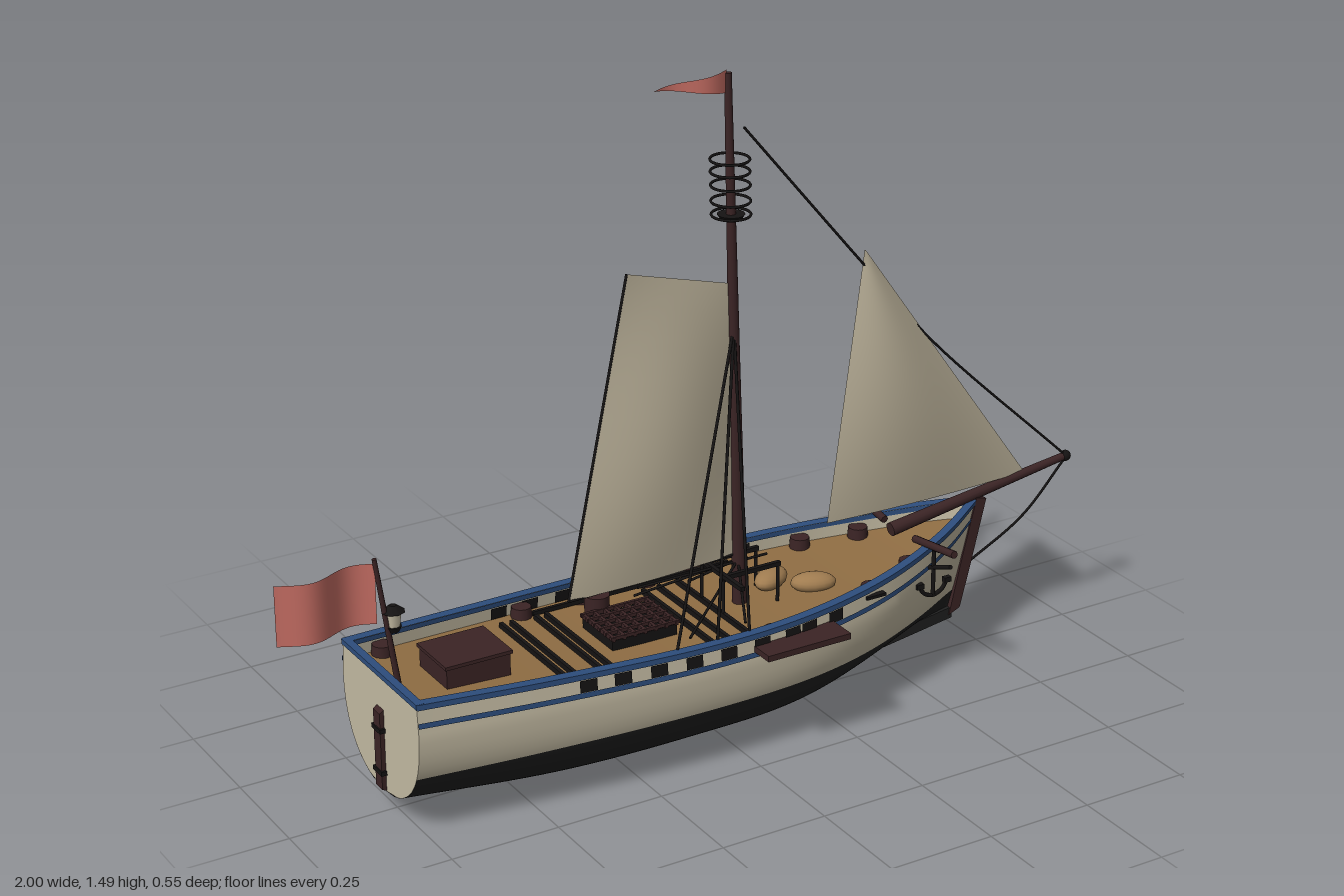
import * as THREE from 'three';
import { ParametricGeometry } from 'three/addons/geometries/ParametricGeometry.js';

const mat = (name, color) => Object.assign(new THREE.MeshStandardMaterial({ color, side: THREE.DoubleSide }), { name });
const V = (x, y, z) => new THREE.Vector3(x, y, z);
const lerp = THREE.MathUtils.lerp;

// Smooth curve through sample points
const curve = (xs, ys) => {
  const c = new THREE.CubicInterpolant(xs, ys, 1);
  return (x) => c.evaluate(x)[0];
};

// Hull lines: half breadth, sheer and keel height along the length
const STERN = -0.78, BOW = 0.74, WATER = 0.15;
const half = curve([-0.78, -0.5, -0.1, 0.15, 0.35, 0.5, 0.62, 0.74], [0.178, 0.203, 0.225, 0.216, 0.18, 0.13, 0.075, 0]);
const sheer = curve([-0.78, -0.4, 0, 0.3, 0.5, 0.74], [0.33, 0.314, 0.306, 0.318, 0.335, 0.368]);
const keel = curve([-0.78, -0.42, -0.1, 0.18, 0.43, 0.74], [0.052, 0.018, 0.015, 0.02, 0.062, 0.108]);
const deckY = (x) => sheer(x) - 0.042;

function hullWidth(x, y) {
  const v = THREE.MathUtils.clamp((y - keel(x)) / (sheer(x) - keel(x)), 0, 1);
  const t = Math.min(v / 0.75, 1);
  const s = (x - STERN) / (BOW - STERN);
  const tumble = 1 - 0.035 * Math.max(0, (v - 0.75) / 0.25);
  return half(x) * Math.pow(1 - Math.pow(1 - t, 2.5), 0.48 + 0.35 * s ** 4) * tumble;
}
function hullPoint(x, y, offset, side, target) {
  const s = (x - STERN) / (BOW - STERN);
  return target.set(x + s ** 6 * (y - 0.36) * 0.27, y, side * Math.max(0, hullWidth(x, y) + offset));
}

export function createModel() {
  const model = new THREE.Group();
  model.name = 'sailingShip';
  const cream = mat('creamPaint', 0xc4bba3), black = mat('hullBlack', 0x1f1f1f), blue = mat('bluePaint', 0x2d4d7c);
  const deckWood = mat('deckWood', 0x8f6d43), brown = mat('darkWood', 0x3b2425), rope = mat('ropeBlack', 0x151313);
  const sail = mat('sailCloth', 0xbdb39b), red = mat('redCloth', 0xc86f65), tan = mat('sackTan', 0xa07c50);

  const add = (name, geo, material, x = 0, y = 0, z = 0) => {
    const m = new THREE.Mesh(geo, material);
    m.name = name;
    m.position.set(x, y, z);
    model.add(m);
    return m;
  };
  const box = (name, material, w, h, d, x, y, z) => add(name, new THREE.BoxGeometry(w, h, d), material, x, y, z);
  const surface = (name, material, nu, nv, f) => add(name, new ParametricGeometry(f, nu, nv), material);
  const rod = (name, material, a, b, r0, r1 = r0, n = 10) => {
    const m = add(name, new THREE.CylinderGeometry(r1, r0, a.distanceTo(b), n), material);
    m.position.copy(a).add(b).multiplyScalar(0.5);
    m.quaternion.setFromUnitVectors(V(0, 1, 0), b.clone().sub(a).normalize());
    return m;
  };
  const tube = (name, material, pts, r, n = 24) =>
    add(name, new THREE.TubeGeometry(new THREE.CatmullRomCurve3(pts), n, r, 6), material);
  const plate = (name, material, pts, depth) => {
    const shape = new THREE.Shape(pts.map(([x, y]) => new THREE.Vector2(x, y)));
    return add(name, new THREE.ExtrudeGeometry(shape, { depth, bevelEnabled: false }), material, 0, 0, -depth / 2);
  };
  // Strip of planking between two height rules
  const strake = (name, material, lo, hi, off, side, x0 = STERN, x1 = BOW, nu = 64, nv = 3) =>
    surface(name, material, nu, nv, (u, v, t) => {
      const x = lerp(x0, x1, u);
      hullPoint(x, lerp(lo(x), hi(x), v), off, side, t);
    });
  const below = (d) => (x) => sheer(x) - d;

  // Hull sides, bulwarks, rails, bands and ports
  for (const side of [1, -1]) {
    strake('hullBottom', black, keel, () => WATER, 0, side, STERN, BOW, 64, 16);
    strake('hullTopside', cream, () => WATER, sheer, 0, side, STERN, BOW, 64, 8);
    strake('innerBulwark', cream, deckY, sheer, -0.014, side);
    strake('upperBand', blue, below(0.012), below(-0.001), 0.004, side);
    strake('lowerBand', blue, below(0.053), below(0.041), 0.003, side);
    strake('innerBand', blue, below(0.012), sheer, -0.017, side);
    surface('railCap', blue, 64, 1, (u, v, t) => {
      const x = lerp(STERN, BOW, u);
      hullPoint(x, sheer(x) + 0.001, lerp(-0.018, 0.005, v), side, t);
    });
    [-0.4, -0.32, -0.235, -0.15, -0.065, 0.02, 0.1, 0.145, 0.22].forEach((x) => {
      strake('gunPort', rope, below(0.04), below(0.013), 0.004, side, x - 0.02, x + 0.02, 2, 1);
      strake('innerPort', rope, below(0.04), below(0.013), -0.018, side, x - 0.02, x + 0.02, 2, 1);
    });
  }
  surface('deck', deckWood, 2, 64, (u, v, t) => {
    const x = lerp(STERN, BOW, v);
    hullPoint(x, deckY(x), -0.004, 1, t);
    t.z *= u * 2 - 1;
  });
  surface('transom', cream, 2, 24, (u, v, t) => {
    const y = lerp(keel(STERN), sheer(STERN), v);
    t.set(STERN, y, (u * 2 - 1) * hullWidth(STERN, y));
  });
  box('sternRail', blue, 0.018, 0.012, 0.35, -0.773, 0.325, 0);

  // Keel, stem and rudder
  const keelXs = [-0.76, -0.6, -0.42, -0.1, 0.18, 0.43, 0.67];
  plate('keel', black, [...keelXs.map((x) => [x, keel(x) - 0.015]), ...keelXs.map((x) => [x, keel(x) + 0.012]).reverse()], 0.02);
  plate('stem', brown, [[0.66, 0.092], [0.69, 0.105], [0.715, 0.2], [0.755, 0.365], [0.728, 0.372], [0.69, 0.22]], 0.026);
  plate('rudder', brown, [[-0.775, 0.055], [-0.79, 0.06], [-0.79, 0.24], [-0.775, 0.25]], 0.03);
  for (const y of [0.1, 0.2]) box('rudderHinge', rope, 0.022, 0.01, 0.04, -0.782, y, 0);

  // Mast, hoop lookout and bowsprit
  const mastAt = (y) => 0.1 - ((y - 0.27) * 0.035) / 1.21;
  rod('mast', brown, V(0.1, 0.26, 0), V(0.065, 1.485, 0), 0.017, 0.008, 16);
  [1.175, 1.205, 1.24, 1.27, 1.297].forEach((y) => {
    add('lookoutHoop', new THREE.TorusGeometry(0.042, 0.003, 6, 32), rope, mastAt(y), y, 0).rotation.x = Math.PI / 2;
  });
  add('lookoutFloor', new THREE.CylinderGeometry(0.03, 0.022, 0.012, 20), rope, mastAt(1.17), 1.17, 0);
  rod('bowsprit', brown, V(0.5, 0.343, 0), V(0.985, 0.414, 0), 0.016, 0.009, 12);
  add('bowspritCap', new THREE.SphereGeometry(0.013, 12, 8), rope, 0.987, 0.414, 0);

  // Sails with a gentle belly
  const corner = (a, b, t) => [lerp(a[0], b[0], t), lerp(a[1], b[1], t)];
  const cloth = (name, bl, br, tl, tr, belly) => surface(name, sail, 16, 16, (u, v, t) => {
    const [x, y] = corner(corner(bl, br, u), corner(tl, tr, u), v);
    t.set(x, y, belly * Math.sin(Math.PI * u) * Math.sin(Math.PI * (0.1 + 0.9 * v)));
  });
  cloth('mainsail', [-0.33, 0.375], [0.085, 0.385], [-0.18, 1.09], [0.075, 1.02], 0.032);
  cloth('jib', [0.328, 0.4], [0.87, 0.4], [0.414, 1.03], [0.416, 1.03], 0.035);
  rod('mainsailEdge', rope, V(-0.33, 0.375, 0), V(-0.18, 1.09, 0), 0.003);
  rod('mainsailFoot', rope, V(-0.33, 0.375, 0), V(0.09, 0.385, 0), 0.003);

  // Stays and shrouds
  tube('forestay', rope, [V(0.105, 1.36, 0), V(0.41, 1.0, 0), V(0.6, 0.78, 0), V(0.988, 0.414, 0)], 0.003);
  tube('bobstay', rope, [V(0.988, 0.41, 0), V(0.87, 0.29, 0), V(0.715, 0.205, 0)], 0.003);
  for (const side of [1, -1])
    for (const x of [-0.18, -0.08, 0]) rod('shroud', rope, V(0.082, 0.92, 0), V(x, 0.305, side * 0.2), 0.0035, 0.0035, 6);

  // Pennant, ensign and lantern
  surface('pennant', red, 16, 2, (u, v, t) =>
    t.set(lerp(0.062, -0.11, u), 1.467 + (v - 0.5) * 0.05 * (1 - u) + 0.004 * u, 0.012 * Math.sin(u * 6)));
  rod('ensignStaff', brown, V(-0.735, 0.28, 0), V(-0.78, 0.588, 0), 0.007, 0.005);
  surface('ensign', red, 24, 2, (u, v, t) =>
    t.set(lerp(-0.779, -1, u), lerp(0.44, 0.577, v), -0.016 * Math.sin(u * 7)));
  add('lanternBase', new THREE.CylinderGeometry(0.018, 0.011, 0.014, 8), rope, -0.742, 0.42, 0);
  add('lanternGlass', new THREE.CylinderGeometry(0.018, 0.014, 0.034, 8), cream, -0.742, 0.443, 0);
  add('lanternRoof', new THREE.CylinderGeometry(0.008, 0.026, 0.014, 8), rope, -0.742, 0.467, 0);

  // Deck fittings: hatch, grating, beams and fife rail
  box('hatch', brown, 0.15, 0.06, 0.125, -0.58, 0.303, 0);
  box('hatchLid', brown, 0.158, 0.008, 0.133, -0.58, 0.331, 0);
  box('gratingBase', rope, 0.16, 0.025, 0.13, -0.18, 0.278, 0);
  for (let i = 0; i < 7; i++) box('gratingBar', brown, 0.007, 0.01, 0.14, -0.258 + i * 0.026, 0.295, 0);
  for (let i = 0; i < 6; i++) box('gratingSlat', brown, 0.17, 0.008, 0.007, -0.18, 0.297, -0.065 + i * 0.026);
  for (const x of [-0.415, -0.39, -0.33, -0.305, -0.06, -0.02, 0.03])
    box('deckBeam', rope, 0.009, 0.012, 0.3, x, deckY(x) + 0.006, 0);
  for (const side of [1, -1]) {
    box('deckSpar', rope, 0.5, 0.01, 0.008, -0.08, 0.277, side * 0.165);
    box('fifeRail', rope, 0.15, 0.01, 0.01, 0.1, 0.36, side * 0.045);
    for (const x of [0.03, 0.17]) rod('fifePost', rope, V(x, 0.262, side * 0.045), V(x, 0.36, side * 0.045), 0.004);
    for (const x of [0.04, -0.1]) rod('runningLine', rope, V(0.095, 0.37, 0), V(x, 0.28, side * 0.12), 0.003);
  }
  box('fifeCrossbar', rope, 0.01, 0.01, 0.25, 0.03, 0.365, 0);
  rod('deckSling', rope, V(-0.16, 0.365, 0), V(0.17, 0.365, 0), 0.003);
  add('barrel', new THREE.CylinderGeometry(0.028, 0.028, 0.06, 16), brown, -0.21, 0.295, -0.09);
  [[0.2, -0.03, 0.5], [0.27, 0.035, -0.4]].forEach(([x, z, turn]) => {
    const sack = add('sack', new THREE.SphereGeometry(0.045, 16, 10), tan, x, 0.285, z);
    sack.scale.set(1.15, 0.5, 0.7);
    sack.rotation.y = turn;
  });

  // Side gear: bulwark knees, channels, catheads and anchors
  for (const side of [1, -1]) {
    for (const x of [-0.7, -0.35, -0.2, -0.03, 0.07, 0.35, 0.48])
      add('knee', new THREE.CylinderGeometry(0.022, 0.024, 0.025, 12), brown, x, deckY(x) + 0.012, side * (half(x) - 0.036));
    box('channel', brown, 0.21, 0.014, 0.08, 0.105, 0.271, side * 0.237);
    rod('cathead', brown, V(0.525, 0.338, side * 0.06), V(0.525, 0.36, side * 0.212), 0.009, 0.009, 8);
    const z = side * 0.135;
    rod('anchorShank', rope, V(0.525, 0.232, z), V(0.525, 0.34, z), 0.005);
    tube('anchorArms', rope, [V(0.488, 0.262, z), V(0.5, 0.24, z), V(0.525, 0.23, z), V(0.55, 0.24, z), V(0.562, 0.262, z)], 0.005);
    for (const x of [0.488, 0.562]) box('anchorFluke', rope, 0.018, 0.012, 0.012, x, 0.26, z);
    rod('anchorStock', rope, V(0.525, 0.292, side * 0.12), V(0.525, 0.325, side * 0.2), 0.005);
    rod('anchorCable', rope, V(0.525, 0.34, z), V(0.525, 0.355, side * 0.2), 0.003);
    box('hawseCleat', rope, 0.05, 0.007, 0.014, 0.335, 0.297, side * (hullWidth(0.335, 0.297) + 0.004));
  }
  return model;
}
